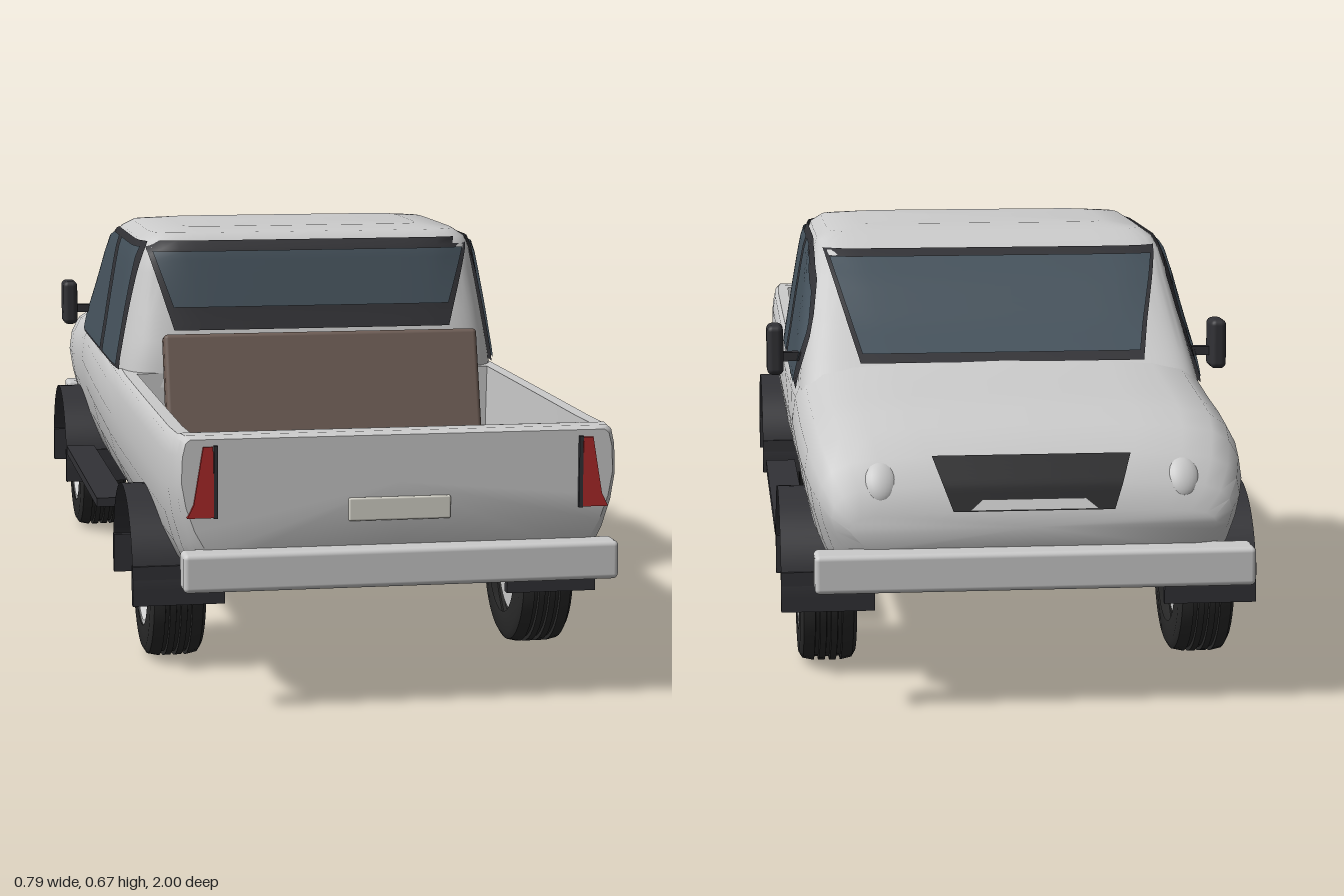
import * as THREE from 'three';
import { toCreasedNormals } from 'three/addons/utils/BufferGeometryUtils.js';
import { RoundedBoxGeometry } from 'three/addons/geometries/RoundedBoxGeometry.js';

const mat = (color, side = THREE.FrontSide) => new THREE.MeshStandardMaterial({ color, side });
const PAINT = 0xcccccc, TRIM = 0x323236, GLASS = 0x45525c, RUBBER = 0x2b2b2b, RED = 0xb02a2a, BROWN = 0x6e5d55;
const lerp = THREE.MathUtils.lerp;

// linear lookup in rows sorted by their first column
function sample(rows, t, col) {
  if (t <= rows[0][0]) return rows[0][col];
  for (let i = 1; i < rows.length; i++) {
    const a = rows[i - 1], b = rows[i];
    if (t <= b[0]) return lerp(a[col], b[col], (t - a[0]) / (b[0] - a[0]));
  }
  return rows[rows.length - 1][col];
}

// closed skin through equal-length rings, with both ends capped
function loft(rings, crease) {
  const n = rings[0].length, pos = rings.flat(2), idx = [];
  for (let i = 0; i < rings.length - 1; i++) for (let j = 0; j < n; j++) {
    const a = i * n + j, b = i * n + (j + 1) % n;
    idx.push(a, a + n, b, b, a + n, b + n);
  }
  [0, rings.length - 1].forEach((r, end) => {
    const c = pos.length / 3;
    for (let k = 0; k < 3; k++) pos.push(rings[r].reduce((s, p) => s + p[k], 0) / n);
    for (let j = 0; j < n; j++) {
      const a = r * n + j, b = r * n + (j + 1) % n;
      end ? idx.push(c, b, a) : idx.push(c, a, b);
    }
  });
  const g = new THREE.BufferGeometry();
  g.setAttribute('position', new THREE.Float32BufferAttribute(pos, 3));
  g.setIndex(idx);
  return toCreasedNormals(g, crease);
}

// half cross-sections as fractions of half width and height, bottom centre to top centre
const BED = [[0, 0], [.8, 0], [.88, .06], [.94, .25], [.98, .45], [1, .65], [.995, .86], [.98, .97], [.96, 1], [.9, 1], [.89, 1], [0, 1]];
const HOOD = [[0, 0], [.8, 0], [.88, .06], [.94, .25], [.98, .45], [1, .62], [.985, .76], [.94, .87], [.86, .94], [.72, .975], [.5, .99], [0, 1]];
// z, half width, bottom, top, hood blend, cavity
const STATIONS = [
  [.962, .338, .235, .425, 0, 0], [.95, .345, .215, .43, 0, 0], [.92, .349, .2, .43, 0, 0], [.9, .351, .192, .427, 0, 0],
  [.9, .351, .192, .427, 0, 1], [.82, .353, .182, .425, 0, 1], [.5, .354, .178, .425, 0, 1], [.21, .354, .176, .425, 0, 1],
  [.21, .354, .176, .425, 0, 0], [0, .354, .176, .43, .15, 0], [-.3, .354, .176, .46, .7, 0], [-.45, .354, .176, .485, 1, 0],
  [-.52, .353, .176, .475, 1, 0], [-.62, .352, .176, .463, 1, 0], [-.72, .35, .178, .456, 1, 0], [-.8, .347, .182, .447, 1, 0],
  [-.86, .341, .19, .428, 1, 0], [-.91, .329, .205, .392, 1, 0], [-.94, .312, .225, .35, 1, 0], [-.956, .285, .25, .31, 1, 0]];
const FLOOR = .25;

function bodyRing([z, w, yb, yt, k, cavity]) {
  const half = BED.map((p, i) => {
    const fx = lerp(p[0], HOOD[i][0], k), y = lerp(yb, yt, lerp(p[1], HOOD[i][1], k));
    return [fx * w, i > 9 && cavity ? FLOOR : y, z];
  });
  return [...half, ...half.slice(1, -1).reverse().map(([x, y, zz]) => [-x, y, zz])];
}

// cab levels: y, windscreen z, rear z, half width
const CAB = [[.4, -.6, .215, .345], [.44, -.55, .212, .341], [.48, -.5, .205, .334], [.53, -.43, .19, .326], [.6, -.355, .172, .314],
  [.635, -.31, .163, .307], [.655, -.27, .153, .299], [.668, -.235, .132, .28], [.675, -.17, .08, .22]];
const ROUND = 10;
const cabAt = y => {
  const f = sample(CAB, y, 1), b = sample(CAB, y, 2);
  return { w: sample(CAB, y, 3), c: (f + b) / 2, d: (b - f) / 2 };
};
const bulge = r => Math.pow(Math.max(0, 1 - Math.pow(Math.min(1, Math.abs(r)), ROUND)), 1 / ROUND);
function cabRing([y]) {
  const { w, c, d } = cabAt(y), ring = [], e = v => Math.sign(v) * Math.pow(Math.abs(v), 2 / ROUND);
  for (let i = 0; i < 64; i++) {
    const t = i / 64 * Math.PI * 2;
    ring.push([w * e(Math.cos(t)), y, c + d * e(Math.sin(t))]);
  }
  return ring;
}

// thin sheet from a rule (u, v) -> [x, y, z]
function patch(rule) {
  const g = new THREE.PlaneGeometry(1, 1, 20, 12), p = g.attributes.position;
  for (let i = 0; i < p.count; i++) p.setXYZ(i, ...rule(p.getX(i) + .5, p.getY(i) + .5));
  g.computeVertexNormals();
  return g;
}
const endPane = (dir, y0, y1, w0, w1, off) => patch((u, v) => {
  const y = lerp(y0, y1, v), x = (u * 2 - 1) * lerp(w0, w1, v), { w, c, d } = cabAt(y);
  return [x, y, c + dir * (d * bulge(x / w) + off)];
});
const WINDOW_TOP = [[-.455, .45], [-.42, .52], [-.35, .588], [-.27, .638], [-.2, .655]];
const sidePane = (s, z0, z1, y0, drop, off) => patch((u, v) => {
  const z = lerp(z0, z1, u), y = lerp(y0, sample(WINDOW_TOP, z, 1) - drop, v), { w, c, d } = cabAt(y);
  return [s * (w * Math.max(.95, bulge((z - c) / d)) + off), y, z];
});

function makeWheel(s) {
  const wheel = new THREE.Group();
  const add = (name, geo, color, side) => {
    const m = new THREE.Mesh(geo, mat(color, side));
    m.name = name;
    wheel.add(m);
    return m;
  };
  const turn = pts => toCreasedNormals(new THREE.LatheGeometry(pts.map(p => new THREE.Vector2(...p)), 40).rotateZ(-Math.PI / 2), .6);
  // grooved tyre
  const tread = [[.088, -.046], [.125, -.046], [.135, -.04]];
  for (const x of [-.018, 0, .018]) tread.push([.139, x - .004], [.133, x - .003], [.133, x + .003], [.139, x + .004]);
  add('tyre', turn([...tread, [.135, .04], [.125, .046], [.088, .046], [.084, .03]]), RUBBER, THREE.DoubleSide);
  add('rim', turn([[0, -.03], [.088, -.03], [.088, .044], [.08, .044], [.074, .03], [.035, .034], [.03, .044], [0, .044]]), PAINT, THREE.DoubleSide);
  add('hubCap', turn([[.026, .04], [.026, .05], [.02, .052], [0, .052]]), 0xaaaaaa, THREE.DoubleSide);
  // brake caliper
  const arc = new THREE.Shape();
  arc.absarc(0, 0, .073, Math.PI * .5, Math.PI * .95, false);
  arc.absarc(0, 0, .052, Math.PI * .95, Math.PI * .5, true);
  add('brakeCaliper', new THREE.ExtrudeGeometry(arc, { depth: .006, bevelEnabled: false, curveSegments: 12 }).rotateY(Math.PI / 2)
    .translate(.033, 0, 0), RED);
  if (s < 0) { // keep the caliper on the same end of the car
    wheel.children.forEach(m => { if (m.name !== 'brakeCaliper') m.rotation.y = Math.PI; else m.position.x = -.072; });
  }
  return wheel;
}

export function createModel() {
  const root = new THREE.Group();
  const add = (name, geo, color, x = 0, y = 0, z = 0, side) => {
    const m = new THREE.Mesh(geo, mat(color, side));
    m.name = name;
    m.position.set(x, y, z);
    root.add(m);
    return m;
  };
  const sheet = (name, geo, color) => add(name, geo, color, 0, 0, 0, THREE.DoubleSide);
  const box = (w, h, d, r = .008) => new RoundedBoxGeometry(w, h, d, 3, r);

  add('body', loft(STATIONS.map(bodyRing), .7), PAINT);
  add('cab', loft(CAB.map(cabRing), .7), PAINT);
  add('underside', new THREE.BoxGeometry(.56, .012, 1.74), 0x1c1c1c, 0, .177, 0);

  // windscreen and rear window with their surrounds
  sheet('windscreenFrame', endPane(-1, .475, .645, .24, .292, .005), TRIM);
  sheet('windscreen', endPane(-1, .489, .634, .236, .282, .009), GLASS);
  sheet('rearWindowFrame', endPane(1, .5, .656, .25, .297, .004), TRIM);
  sheet('rearWindow', endPane(1, .54, .638, .25, .283, .008), GLASS);

  // bumpers
  add('rearBumper', box(.68, .06, .05), PAINT, 0, .225, .975);
  add('frontBumper', box(.68, .06, .06), PAINT, 0, .225, -.97);

  // seat behind the cab
  const back = add('seatBack', box(.56, .24, .035), BROWN, 0, .385, .305);
  back.rotation.x = -.28;
  add('seatCushion', box(.56, .05, .16), BROWN, 0, .33, .24);

  add('numberPlate', box(.16, .036, .008, .003), 0xd8d6cc, 0, .311, .963);

  // grille follows the slope of the nose
  const NOSE = [[.31, -.956], [.35, -.94], [.392, -.91], [.428, -.86]];
  const grille = (y0, y1, w0, w1, off) => patch((u, v) => {
    const y = lerp(y0, y1, v);
    return [(u * 2 - 1) * lerp(w0, w1, v), y, sample(NOSE, y, 1) - off];
  });
  sheet('grille', grille(.312, .392, .125, .155, .006), 0x242426);
  sheet('grilleBar', grille(.314, .33, .1, .08, .01), PAINT);

  for (const s of [1, -1]) {
    // side windows
    sheet('sideWindowFrame', sidePane(s, .142, -.455, .425, 0, .006), TRIM);
    sheet('rearSideWindow', sidePane(s, .132, -.075, .432, .01, .01), GLASS);
    sheet('frontSideWindow', sidePane(s, -.11, -.43, .432, .01, .01), GLASS);

    add('mirror', box(.028, .085, .055, .01), TRIM, s * .381, .488, -.412);
    add('mirrorArm', new THREE.BoxGeometry(.06, .015, .02), TRIM, s * .35, .475, -.412);
    add('runningBoard', new THREE.BoxGeometry(.055, .016, .6), TRIM, s * .358, .183, -.16);

    const lamp = new THREE.Shape([[.29, .414], [.305, .414], [.314, .36], [.32, .325], [.33, .305], [.288, .305]]
      .map(([x, y]) => new THREE.Vector2(s * x, y)));
    add('tailLight', new THREE.ExtrudeGeometry(lamp, { depth: .012, bevelEnabled: false }), RED, 0, 0, .956);
    add('tailLightTrim', new THREE.BoxGeometry(.006, .112, .014), TRIM, s * .286, .36, .962);

    const light = add('headlight', new THREE.SphereGeometry(1, 24, 16), PAINT, s * .235, .352, -.922);
    light.scale.set(.028, .036, .018);
    light.rotation.x = .6;

    for (const z of [.56, -.625]) {
      const wheel = makeWheel(s);
      wheel.name = 'wheel';
      wheel.position.set(s * .308, .14, z);
      root.add(wheel);
      // open arch shell with a short flap at either end
      const shell = new THREE.CylinderGeometry(.15, .15, .15, 28, 1, true, 0, Math.PI).rotateZ(Math.PI / 2).rotateX(0);
      add('wheelArch', shell, TRIM, s * .31, .14, z, THREE.DoubleSide);
      for (const e of [1, -1]) add('archFlap', new THREE.BoxGeometry(.15, .065, .016), TRIM, s * .31, .147, z + e * .141);
    }
  }
  return root;
}
